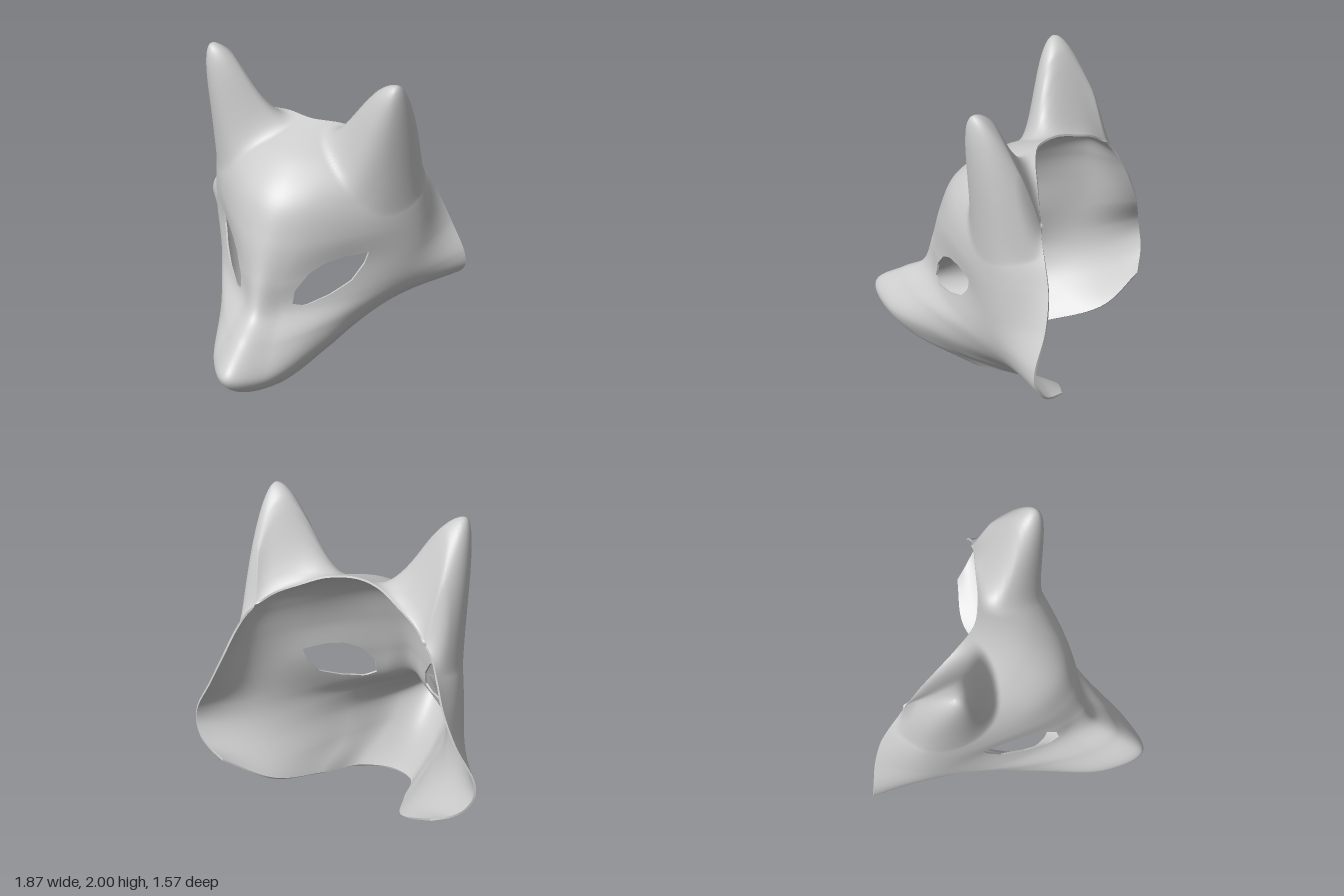
import * as THREE from 'three';

const V = (x, y, z) => new THREE.Vector3(x, y, z);
const curve = (pts) => new THREE.CatmullRomCurve3(pts.map((p) => V(...p)));

// Guide curves of the left half, each running from the chin up to the crown
const guides = [
  // centre line: chin, snout tip, bridge, forehead, crown
  [[0, 0, 0.12], [0, 0.09, 0.55], [0, 0.33, 0.78], [0, 0.485, 0.59], [0, 0.59, 0.43],
    [0, 0.8, 0.355], [0, 1.05, 0.285], [0, 1.27, 0.19], [0, 1.43, 0], [0, 1.57, -0.34]],
  // side of the snout and bridge
  [[0.19, 0.028, 0.02], [0.17, 0.14, 0.47], [0.185, 0.29, 0.6], [0.16, 0.45, 0.47], [0.14, 0.59, 0.31],
    [0.125, 0.78, 0.29], [0.17, 1.04, 0.225], [0.18, 1.26, 0.14], [0.19, 1.42, -0.05], [0.17, 1.56, -0.385]],
  // inner cheek, through the eye
  [[0.305, 0.12, -0.3], [0.32, 0.19, 0.06], [0.36, 0.32, 0.18], [0.38, 0.46, 0.15], [0.42, 0.59, 0.03],
    [0.42, 0.8, -0.02], [0.42, 1.03, 0], [0.43, 1.22, -0.06], [0.43, 1.37, -0.18], [0.32, 1.51, -0.455]],
  // outer cheek
  [[0.45, 0.24, -0.64], [0.5, 0.29, -0.51], [0.59, 0.38, -0.43], [0.66, 0.49, -0.39], [0.7, 0.61, -0.38],
    [0.71, 0.8, -0.38], [0.71, 1.04, -0.4], [0.685, 1.2, -0.39], [0.635, 1.34, -0.41], [0.44, 1.46, -0.515]],
  // back rim
  [[0.7, 0.38, -0.785], [0.82, 0.425, -0.755], [0.885, 0.475, -0.735], [0.93, 0.56, -0.705], [0.92, 0.66, -0.695],
    [0.81, 0.86, -0.71], [0.72, 1.05, -0.69], [0.66, 1.2, -0.645], [0.61, 1.3, -0.605], [0.55, 1.38, -0.57]],
].map(curve);

const ROWS = 9;
const SIDE = 4;
const FINE = 16;
const THICKNESS = 0.012;

// Cross-section from rim to rim at height parameter v (0..ROWS)
function section(v) {
  const half = guides.map((g) => g.getPoint(Math.min(1, Math.max(0, v / ROWS))));
  const mirrored = half.slice(1).reverse().map((p) => V(-p.x, p.y, p.z));
  return new THREE.CatmullRomCurve3([...mirrored, ...half]);
}

const surface = (sec, u) => sec.getPoint((u + SIDE) / (2 * SIDE));

// Ears: pull the outside up to a blunt tip, leaving the rim where it is
function raiseEar(p, u, v) {
  const dx = Math.abs(p.x) - 0.55;
  const dz = p.z + 0.36;
  const dy = Math.min(0, p.y - 1.38);
  const d = Math.hypot(dx / (dx > 0 ? 0.22 : 0.47), dz / 0.33, dy / 0.3);
  if (d >= 1) return p;
  const rimFade = THREE.MathUtils.smoothstep(Math.min(ROWS - v, SIDE - Math.abs(u)), 0, 0.4);
  const w = rimFade * ((1 + Math.cos(Math.PI * d)) / 2) ** 0.85;
  return V(p.x + Math.sign(p.x) * 0.05 * w, p.y + (2 - p.y) * w, p.z + 0.16 * w);
}

// Almond eye outline, counter-clockwise, seen from the front
const eyeCentre = [0.34, 0.75];
const eye = [[0.51, 0.88], [0.41, 0.89], [0.32, 0.87], [0.25, 0.82], [0.185, 0.71],
  [0.18, 0.62], [0.24, 0.6], [0.35, 0.64], [0.44, 0.7], [0.49, 0.8]];

function inEye(p) {
  const x = Math.abs(p.x);
  let inside = false;
  eye.forEach(([ax, ay], i) => {
    const [bx, by] = eye[(i + 1) % eye.length];
    if ((ay > p.y) !== (by > p.y) && x < ax + ((p.y - ay) * (bx - ax)) / (by - ay)) inside = !inside;
  });
  return inside;
}

// Surface parameters nearest to the middle of the eye
function findEye() {
  let best = [0, 0], least = Infinity;
  for (let v = 4; v <= 6; v += 0.05) {
    const sec = section(v);
    for (let u = 1; u <= 2.6; u += 0.05) {
      const p = surface(sec, u);
      const d = Math.hypot(p.x - eyeCentre[0], p.y - eyeCentre[1]);
      if (d < least) { least = d; best = [u, v]; }
    }
  }
  return best;
}

function makeGeometry(points, index) {
  const geometry = new THREE.BufferGeometry().setFromPoints(points);
  geometry.setIndex(index);
  geometry.computeVertexNormals();
  return geometry;
}

// Edges that belong to one face only: the rim and the eye openings
function openEdges(index) {
  const edges = new Map();
  for (let i = 0; i < index.length; i += 3) {
    for (let k = 0; k < 3; k++) {
      const a = index[i + k], b = index[i + ((k + 1) % 3)];
      if (!edges.delete(`${b},${a}`)) edges.set(`${a},${b}`, [a, b]);
    }
  }
  return [...edges.values()];
}

function maskGeometries() {
  const nu = 2 * SIDE * FINE, nv = ROWS * FINE, w = nu + 1;
  const uOf = (k) => (k % w) / FINE - SIDE;
  const vOf = (k) => Math.floor(k / w) / FINE;
  const base = [], index = [];
  for (let j = 0; j <= nv; j++) {
    const sec = section(j / FINE);
    for (let i = 0; i <= nu; i++) base.push(surface(sec, i / FINE - SIDE));
  }
  const hole = base.map(inEye);

  // Leave out the faces inside the eyes
  const ragged = new Set();
  const face = (...t) => {
    if (t.every((k) => hole[k])) return;
    t.forEach((k) => hole[k] && ragged.add(k));
    index.push(...t);
  };
  for (let j = 0; j < nv; j++) {
    for (let i = 0; i < nu; i++) {
      const a = j * w + i;
      face(a, a + 1, a + w + 1);
      face(a, a + w + 1, a + w);
    }
  }

  // Slide the ragged corners out to the eye outline
  const [eu, ev] = findEye();
  for (const k of ragged) {
    const u = uOf(k), v = vOf(k), cu = Math.sign(u) * eu;
    const at = (s) => surface(section(ev + (v - ev) * s), cu + (u - cu) * s);
    let lo = 1, hi = 1;
    while (hi < 4 && inEye(at(hi))) hi += 0.05;
    for (let n = 0; n < 12; n++) {
      const mid = (lo + hi) / 2;
      if (inEye(at(mid))) lo = mid; else hi = mid;
    }
    base[k].copy(at(lo));
  }

  // Outside with ears, smooth lining behind it, and a thin band joining the two
  const outer = base.map((p, k) => raiseEar(p, uOf(k), vOf(k)));
  const normals = makeGeometry(base, index).attributes.normal;
  const inner = base.map((p, k) => V(0, 0, 0).fromBufferAttribute(normals, k).multiplyScalar(-THICKNESS).add(p));
  const band = [], bandIndex = [];
  for (const [a, b] of openEdges(index)) {
    const n = band.length;
    band.push(outer[a], outer[b], inner[a], inner[b]);
    bandIndex.push(n, n + 2, n + 1, n + 1, n + 2, n + 3);
  }
  return {
    outerFace: makeGeometry(outer, index),
    innerLining: makeGeometry(inner, [...index].reverse()),
    edgeBand: makeGeometry(band, bandIndex),
  };
}

export function createModel() {
  const group = new THREE.Group();
  group.name = 'foxMask';
  const material = new THREE.MeshStandardMaterial({ color: 0xcccccc, side: THREE.DoubleSide });
  for (const [name, geometry] of Object.entries(maskGeometries())) {
    const mesh = new THREE.Mesh(geometry, material);
    mesh.name = name;
    group.add(mesh);
  }
  return group;
}
